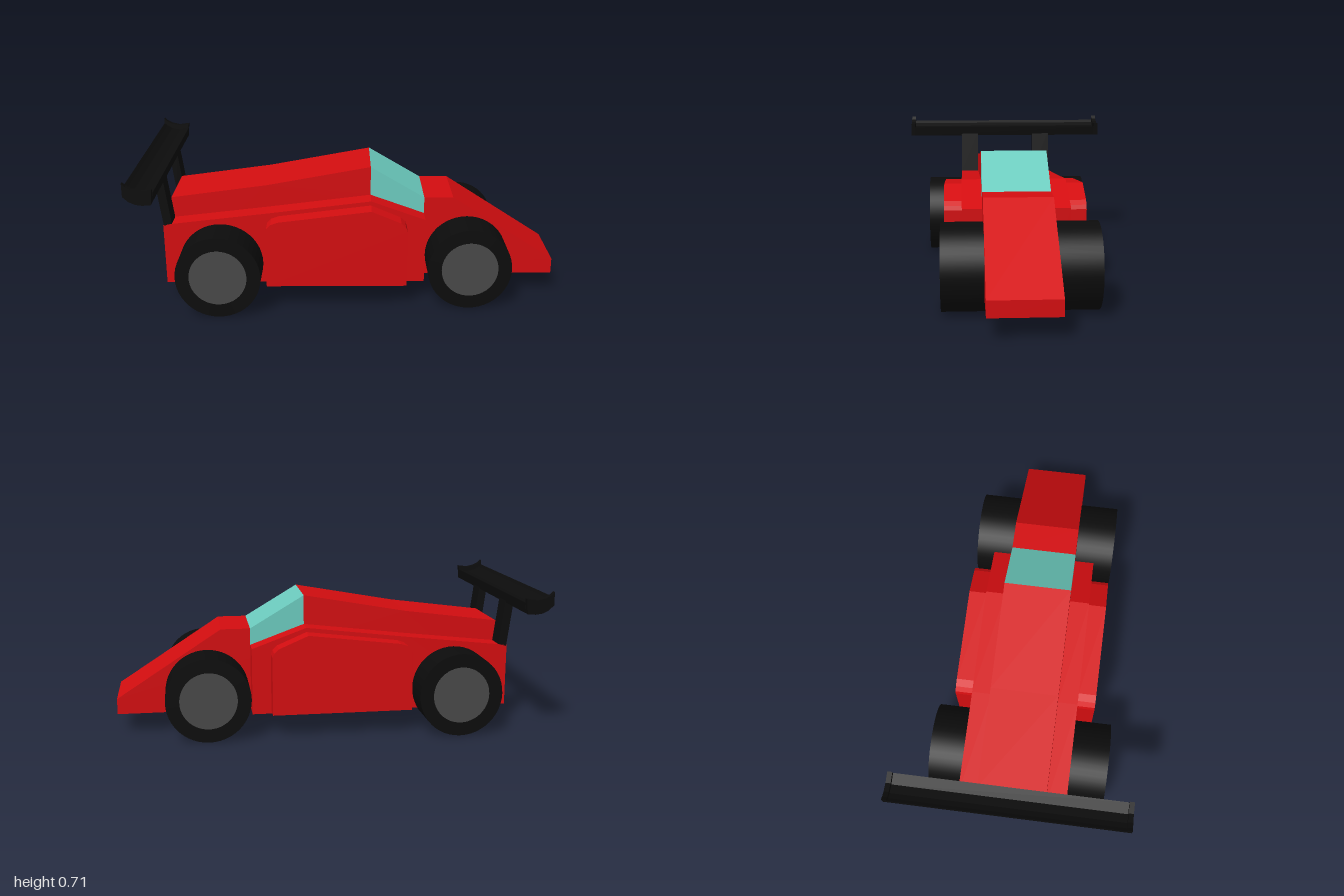
import * as THREE from 'three';

const mat = (color) => new THREE.MeshStandardMaterial({ color, flatShading: true });
const red = mat(0xd40d10), glass = mat(0x6cccbf), black = mat(0x0c0c0c), grey = mat(0x484848);
const rubber = new THREE.MeshStandardMaterial({ color: 0x0c0c0c });

// Slab with a side profile in x/y, spanning z0..z1
function slab(name, points, z0, z1, material) {
  const shape = new THREE.Shape(points.map(([x, y]) => new THREE.Vector2(x, y)));
  const geo = new THREE.ExtrudeGeometry(shape, { depth: z1 - z0, bevelEnabled: false });
  geo.translate(0, 0, z0);
  const mesh = new THREE.Mesh(geo, material);
  mesh.name = name;
  return mesh;
}

// The same slab on both sides of the car
function slabPair(name, points, z0, z1, material) {
  return [
    slab(name + 'Front', points, z0, z1, material),
    slab(name + 'Back', points, -z1, -z0, material),
  ];
}

// Tyre with a flush grey hub, spanning z0..z1
function wheel(name, x, z0, z1) {
  const group = new THREE.Group();
  group.name = name;
  const width = z1 - z0;
  const tyre = new THREE.Mesh(new THREE.CylinderGeometry(0.2, 0.2, width, 48), rubber);
  tyre.name = 'tyre';
  const hub = new THREE.Mesh(new THREE.CylinderGeometry(0.135, 0.135, width + 0.004, 48), grey);
  hub.name = 'hub';
  group.add(tyre, hub);
  group.rotation.x = Math.PI / 2;
  group.position.set(x, 0.202, (z0 + z1) / 2);
  return group;
}

export function createModel() {
  const car = new THREE.Group();
  car.name = 'raceCar';

  // Central body with a notch for the windscreen
  car.add(slab('centralBody', [
    [-0.89, 0.1], [1, 0.1], [1, 0.175], [0.5, 0.5], [0.36, 0.5], [0.36, 0.42],
    [0.1, 0.515], [0.1, 0.655], [-0.4, 0.565], [-0.86, 0.505], [-0.89, 0.4],
  ], -0.16, 0.16, red));
  car.add(slab('windscreen', [
    [0.36, 0.42], [0.36, 0.5], [0.1, 0.655], [0.1, 0.515],
  ], -0.16, 0.16, glass));

  // Lower flanks and the side pods outside them
  car.add(...slabPair('flank', [
    [-0.89, 0.1], [0.36, 0.1], [0.36, 0.42], [0.1, 0.515], [-0.4, 0.455], [-0.89, 0.4],
  ], 0.16, 0.255, red));
  car.add(...slabPair('sidePod', [
    [-0.4, 0.115], [0.27, 0.115], [0.27, 0.395], [0.262, 0.415], [0.24, 0.435],
    [0.1, 0.495], [-0.34, 0.442], [-0.375, 0.43], [-0.395, 0.41], [-0.4, 0.39],
  ], 0.255, 0.34, red));

  // Wheels
  car.add(
    wheel('rearWheelFront', -0.62, 0.155, 0.433),
    wheel('rearWheelBack', -0.62, -0.42, -0.152),
    wheel('noseWheelFront', 0.57, 0.153, 0.35),
    wheel('noseWheelBack', 0.57, -0.355, -0.153),
  );

  // Rear wing: struts, curved blade and raised end plates
  car.add(...slabPair('wingStrut', [
    [-0.887, 0.395], [-0.848, 0.405], [-0.877, 0.63], [-0.917, 0.63],
  ], 0.16, 0.255, black));
  const underside = [[-1, 0.648], [-0.975, 0.625], [-0.945, 0.611], [-0.915, 0.607], [-0.877, 0.61]];
  car.add(slab('wingBlade', [
    ...underside, [-0.87, 0.66], [-0.92, 0.648], [-0.96, 0.657], [-0.985, 0.672], [-1, 0.685],
  ], -0.527, 0.527, black));
  car.add(...slabPair('wingEndPlate', [
    ...underside, [-0.87, 0.68], [-0.92, 0.673], [-0.96, 0.682], [-0.985, 0.695], [-1, 0.71],
  ], 0.527, 0.55, black));

  return car;
}
